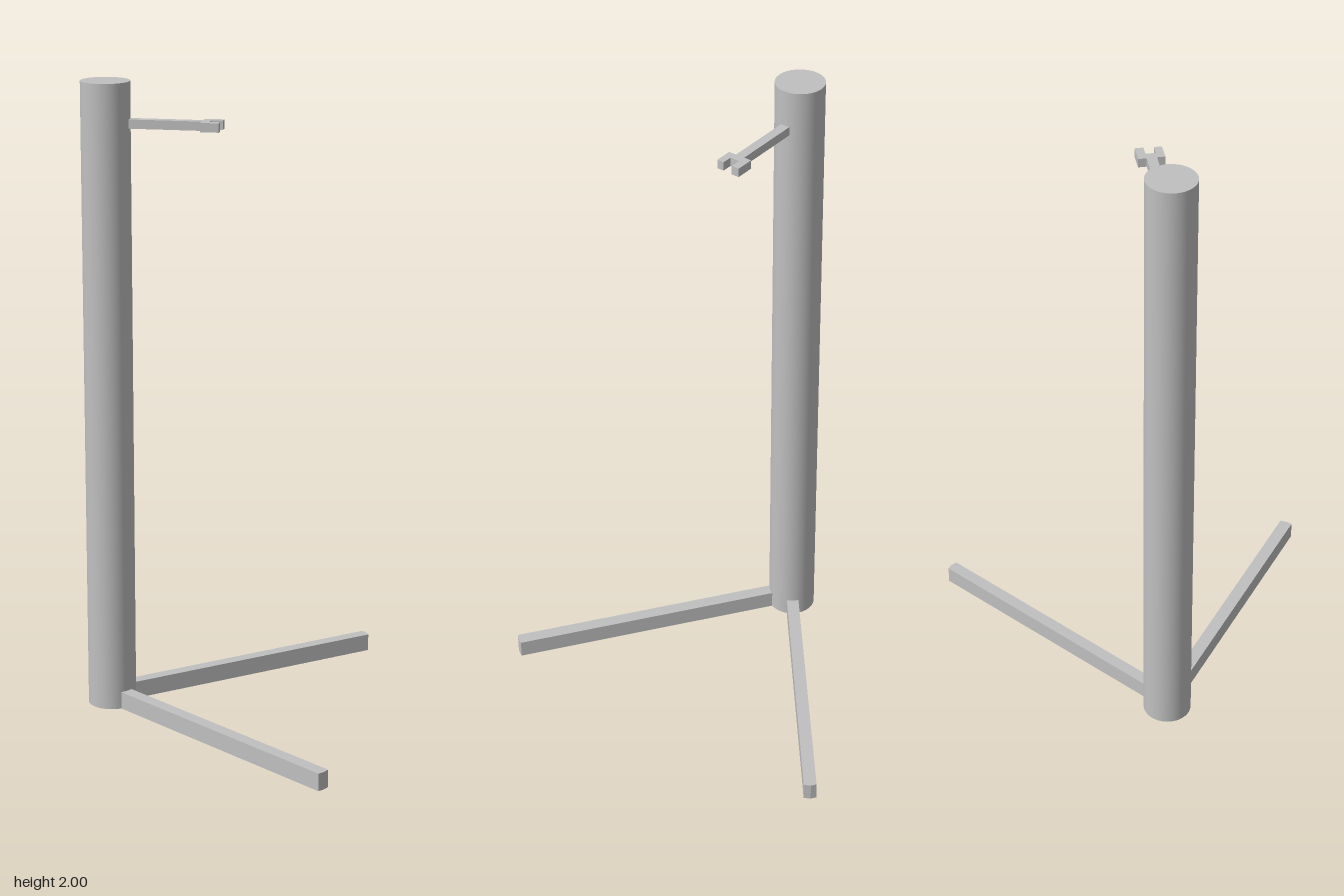
import * as THREE from 'three';

const grey = new THREE.MeshStandardMaterial({ color: 0xc0c0c0 });
grey.name = 'light grey';

// Flat plan outline in (x, z), raised between two heights
function plate(name, points, bottom, top) {
  const shape = new THREE.Shape(points.map(([x, z]) => new THREE.Vector2(x, z)));
  const geometry = new THREE.ExtrudeGeometry(shape, { depth: top - bottom, bevelEnabled: false });
  geometry.rotateX(Math.PI / 2).translate(0, top, 0);
  const mesh = new THREE.Mesh(geometry, grey);
  mesh.name = name;
  return mesh;
}

export function createModel() {
  const model = new THREE.Group();
  model.name = 'stand';

  // Upright post
  const post = new THREE.Mesh(new THREE.CylinderGeometry(0.076, 0.076, 2, 64), grey);
  post.name = 'post';
  post.position.set(-0.352, 1, 0.02);
  model.add(post);

  // Two splayed floor legs, starting just inside the post
  model.add(plate('backLeg', [[-0.308, -0.04], [0.375, -0.603], [0.39, -0.592], [0.401, -0.573], [-0.283, -0.01]], 0, 0.056));
  model.add(plate('frontLeg', [[-0.283, 0.051], [0.425, 0.566], [0.415, 0.585], [0.401, 0.6], [-0.308, 0.084]], 0, 0.056));

  // Small arm ending in a two-pronged fork
  model.add(plate('forkArm', [
    [-0.29, 0.004], [-0.054, 0.004], [-0.054, -0.021], [0.006, -0.021],
    [0.006, 0.005], [-0.029, 0.005], [-0.029, 0.036], [0.003, 0.036],
    [0.003, 0.059], [-0.054, 0.059], [-0.054, 0.034], [-0.29, 0.034],
  ], 1.858, 1.886));

  return model;
}
